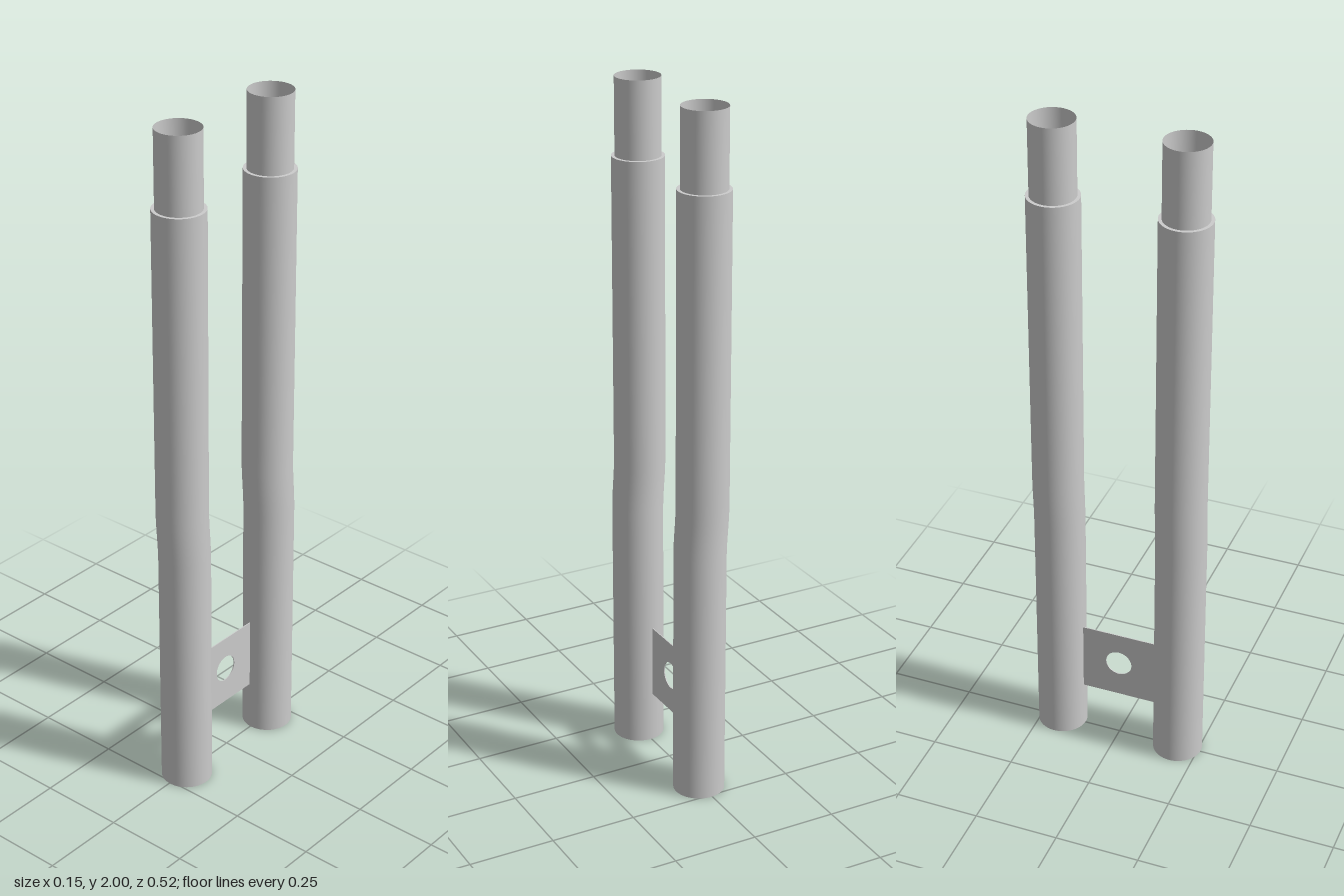
import * as THREE from 'three';

const SIDES = 64;
const TUBE_R = 0.0737, SPIGOT_R = 0.064;
const SHOULDER_Y = 1.78, TOP_Y = 2;
const OFFSET = 0.0036; // sideways shift of the tube either side of its bend

const material = new THREE.MeshStandardMaterial({ color: 0xcccccc, side: THREE.DoubleSide });

function addMesh(parent, name, geometry, x = 0, y = 0, z = 0) {
  const mesh = new THREE.Mesh(geometry, material);
  mesh.name = name;
  mesh.position.set(x, y, z);
  parent.add(mesh);
  return mesh;
}

// Thin open tube whose axis shifts gently from +OFFSET to -OFFSET
function bentTubeGeometry() {
  const g = new THREE.CylinderGeometry(TUBE_R, TUBE_R, SHOULDER_Y, SIDES, 96, true);
  g.translate(0, SHOULDER_Y / 2, 0);
  const p = g.attributes.position;
  for (let i = 0; i < p.count; i++) {
    const t = THREE.MathUtils.smoothstep(p.getY(i), 0.73, 0.89);
    p.setX(i, p.getX(i) + OFFSET * (1 - 2 * t));
  }
  return g;
}

function createPost(name, z) {
  const post = new THREE.Group();
  post.name = name;
  post.position.z = z;

  addMesh(post, 'bentTube', bentTubeGeometry());

  // Closed foot
  const foot = new THREE.CircleGeometry(TUBE_R, SIDES).rotateX(Math.PI / 2);
  addMesh(post, 'footCap', foot, OFFSET);

  // Flat shoulder between tube and spigot
  const shoulder = new THREE.RingGeometry(SPIGOT_R, TUBE_R, SIDES).rotateX(-Math.PI / 2);
  addMesh(post, 'shoulder', shoulder, -OFFSET, SHOULDER_Y);

  // Narrower open spigot
  const h = TOP_Y - SHOULDER_Y;
  const spigot = new THREE.CylinderGeometry(SPIGOT_R, SPIGOT_R, h, SIDES, 1, true);
  addMesh(post, 'spigot', spigot, -OFFSET, SHOULDER_Y + h / 2);
  return post;
}

// Thin plate with a round hole, spanning the gap between the posts
function platGeometry() {
  const w = 0.113, y0 = 0.152, y1 = 0.37, thickness = 0.003;
  const shape = new THREE.Shape();
  shape.moveTo(-w, y0).lineTo(w, y0).lineTo(w, y1).lineTo(-w, y1).closePath();
  const hole = new THREE.Path();
  hole.absarc(0, 0.267, 0.04, 0, Math.PI * 2, true);
  shape.holes.push(hole);
  const g = new THREE.ExtrudeGeometry(shape, { depth: thickness, bevelEnabled: false, curveSegments: 32 });
  return g.translate(0, 0, -thickness / 2).rotateY(Math.PI / 2);
}

export function createModel() {
  const model = new THREE.Group();
  model.name = 'twinPosts';
  model.add(createPost('frontPost', 0.1855), createPost('backPost', -0.1855));
  addMesh(model, 'connectingPlate', platGeometry(), -0.0055);
  return model;
}
